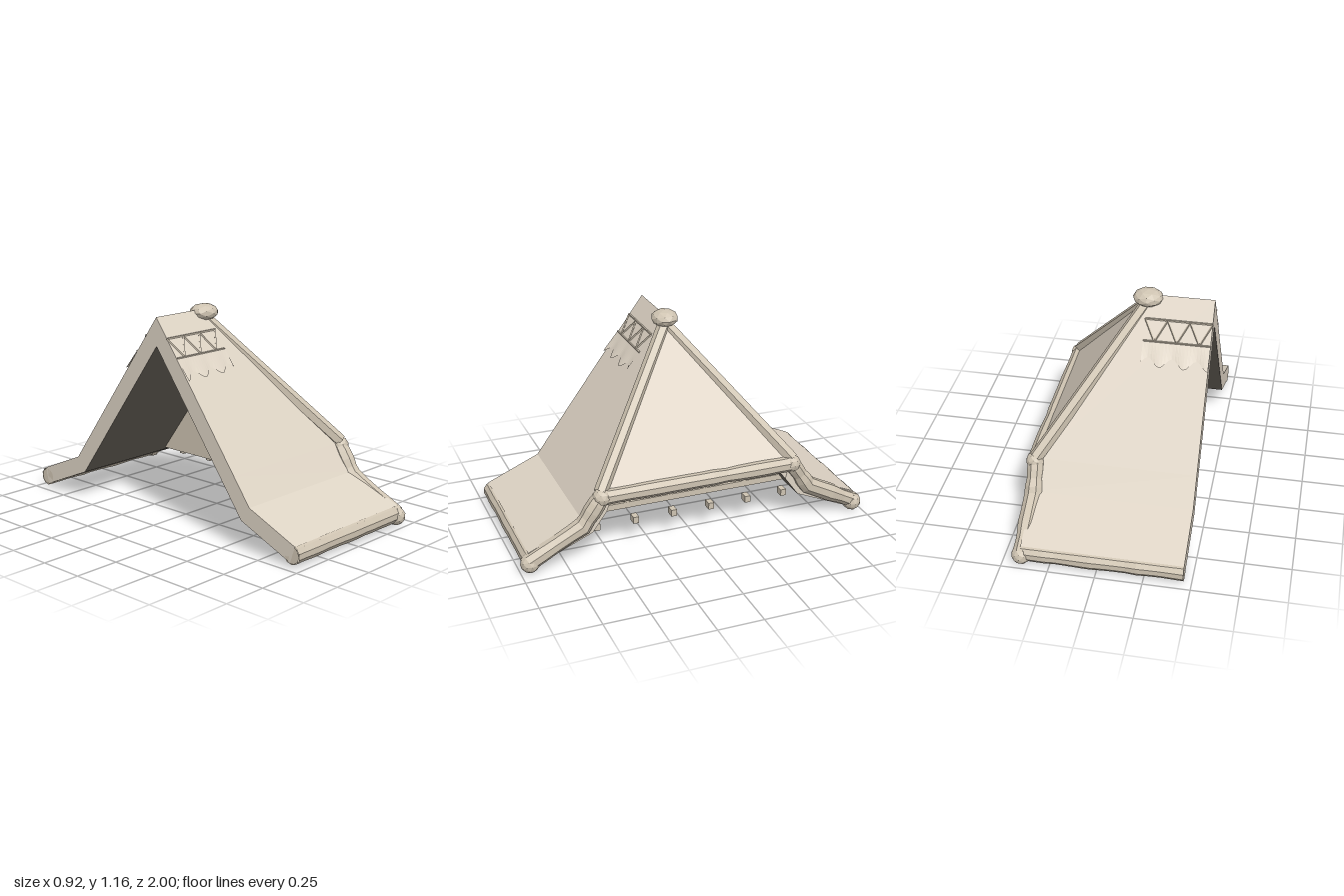
import * as THREE from 'three';

export function createModel() {
  const root = new THREE.Group();
  const paint = (name, color) => {
    const m = new THREE.MeshStandardMaterial({ color, flatShading: true, side: THREE.DoubleSide });
    m.name = name;
    return m;
  };
  const thatch = paint('paleThatch', 0xddd3c4);
  const wood = paint('paleWood', 0xcfc4b2);
  const dark = paint('darkLining', 0x6a645b);
  const V = (x, y, z) => new THREE.Vector3(x, y, z);

  let seed = 90210;
  const rand = () => (seed = (seed * 16807) % 2147483647) / 2147483647;

  function add(name, geo, mat, pos) {
    const m = new THREE.Mesh(geo, mat);
    m.name = name;
    if (pos) m.position.copy(pos);
    root.add(m);
    return m;
  }
  const box = (name, w, h, d, x, y, z) => add(name, new THREE.BoxGeometry(w, h, d), wood, V(x, y, z));

  // Skin a list of equal cross-sections, closed into a tube or left as a strip
  function loft(rings, closed, flip) {
    const p = [], n = rings[0].length;
    const tri = (a, b, c) => (flip ? [a, c, b] : [a, b, c]).forEach(v => p.push(v.x, v.y, v.z));
    for (let i = 0; i < rings.length - 1; i++) {
      for (let k = 0; k < (closed ? n : n - 1); k++) {
        const a = rings[i][k], b = rings[i][(k + 1) % n];
        const d = rings[i + 1][k], c = rings[i + 1][(k + 1) % n];
        tri(a, d, c);
        tri(a, c, b);
      }
    }
    const g = new THREE.BufferGeometry();
    g.setAttribute('position', new THREE.Float32BufferAttribute(p, 3));
    g.computeVertexNormals();
    return g;
  }

  // Thick roof: pale top and edges, dark lining. Section: outer left, outer right, inner right, inner left
  function roof(name, sections, flip) {
    add(name, loft(sections.map(([ol, or]) => [ol, or]), false, flip), thatch);
    add(name + 'CutEdge', loft(sections.map(([ol, , , il]) => [il, ol]), false, flip), thatch);
    add(name + 'RightEdge', loft(sections.map(([, or, ir]) => [or, ir]), false, flip), thatch);
    add(name + 'Lining', loft(sections.map(([, , ir, il]) => [ir, il]), false, flip), dark);
  }

  // Hand-hewn log along straight pieces, with slightly uneven thickness
  function log(name, pts, r, steps, sides, wobble) {
    const line = [];
    for (let i = 0; i < pts.length - 1; i++)
      for (let k = 0; k < steps; k++) line.push(pts[i].clone().lerp(pts[i + 1], k / steps));
    line.push(pts[pts.length - 1]);
    add(name, loft(line.map((c, i) => {
      const dir = line[Math.min(i + 1, line.length - 1)].clone().sub(line[Math.max(i - 1, 0)]).normalize();
      const u = dir.clone().cross(V(0, 1, 0)).normalize(), w = u.clone().cross(dir);
      const k = r * (1 + (rand() - 0.5) * wobble);
      return Array.from({ length: sides }, (_, j) => {
        const a = (j + 0.5) / sides * Math.PI * 2;
        return c.clone().addScaledVector(u, k * Math.cos(a)).addScaledVector(w, k * Math.sin(a));
      });
    }), true), wood);
  }
  const knob = (name, r, pos) => add(name, new THREE.IcosahedronGeometry(r, 1), wood, pos);

  // Thin square stick between two points
  function stick(name, a, b, w) {
    const m = add(name, new THREE.BoxGeometry(w, w, a.distanceTo(b)), wood, a.clone().add(b).multiplyScalar(0.5));
    m.lookAt(b);
  }

  const L = -0.46, RIDGE = 1.135, KINK_Y = 0.245, KINK_Z = 0.655;
  const slopeZ = y => (RIDGE - y) / (RIDGE - KINK_Y) * KINK_Z;
  // Point on the steep slope, raised a little off its surface
  const onSlope = (x, y, s, off) => V(x, y + off * 0.6, s * (slopeZ(y) + off * 0.8));

  // Roof sections: right edge x, outer z and y, inner z and y
  const sections = [
    [-0.1, 0, RIDGE, 0, 0.98],
    [0.4, 0.55, 0.388, 0.52, 0.274],
    [0.4, KINK_Z, KINK_Y, 0.6, 0.165],
    [0.4, 0.955, 0.115, 0.925, 0.025]
  ];

  for (const s of [1, -1]) {
    const side = s > 0 ? 'front' : 'back';

    // Main roof slope with flared eave
    roof(side + 'RoofSlope', sections.map(([x, zo, yo, zi, yi]) =>
      [V(L, yo, s * zo), V(x, yo, s * zo), V(x, yi, s * zi), V(L, yi, s * zi)]), s < 0);

    // Logs framing the slope
    log(side + 'HipLog', [V(-0.1, 1.085, 0), V(0.405, 0.395, s * 0.555)], 0.037, 1, 6, 0);
    log(side + 'FlareLog', [V(0.405, 0.37, s * 0.55), V(0.4, 0.215, s * 0.655), V(0.4, 0.062, s * 0.95)], 0.047, 4, 8, 0.2);
    log(side + 'EaveLog', [V(L, 0.067, s * 0.935), V(0.4, 0.067, s * 0.935)], 0.05, 14, 10, 0.12);
    add(side + 'EaveLogEnd', new THREE.CircleGeometry(0.047, 10).rotateY(-Math.PI / 2), wood, V(L, 0.067, s * 0.935));
    knob(side + 'UpperJoint', 0.05, V(0.41, 0.37, s * 0.55));
    knob(side + 'LowerJoint', 0.053, V(0.4, 0.055, s * 0.947));

    // Ridge trim: two rails with a zigzag between them
    for (const y of [1.03, 0.935]) stick(side + 'TrimRail', onSlope(L, y, s, 0.001), onSlope(-0.1, y, s, 0.001), 0.008);
    for (let i = 0; i < 6; i++) {
      const y0 = i % 2 ? 0.935 : 1.03, y1 = i % 2 ? 1.03 : 0.935;
      stick(side + 'TrimZigzag', onSlope(L + i * 0.06, y0, s, 0.001), onSlope(L + (i + 1) * 0.06, y1, s, 0.001), 0.008);
    }

    // Scalloped cloth with soft folds hanging below the trim
    const cloth = new THREE.PlaneGeometry(0.36, 1, 22, 2), cp = cloth.attributes.position;
    for (let i = 0; i < cp.count; i++) {
      const x = cp.getX(i) - 0.28, t = 0.5 - cp.getY(i);
      const wave = Math.cos((x + 0.2) / 0.13 * Math.PI * 2);
      const p = onSlope(x, 0.932 - t * (0.087 + 0.021 * wave), s, 0.003 + t * 0.004 * (1 + wave));
      cp.setXYZ(i, p.x, p.y, p.z);
    }
    add(side + 'ScallopedCloth', cloth, thatch);

    // Sloping end sticks of the wall under the hip
    stick(side + 'WallBrace', V(0.225, 0.19, s * 0.59), V(0.225, 0.35, s * 0.475), 0.022);
  }

  // Triangular hip face
  roof('hipFace', [
    [V(-0.1, 1.12, 0), V(-0.1, 1.12, 0), V(-0.1, 1.0, 0), V(-0.1, 1.0, 0)],
    [V(0.42, 0.38, 0.55), V(0.42, 0.38, -0.55), V(0.36, 0.335, -0.49), V(0.36, 0.335, 0.49)]
  ]);
  log('hipEaveLog', [V(0.41, 0.368, 0.55), V(0.41, 0.368, -0.55)], 0.043, 14, 8, 0.14);

  // Ridge end knob
  knob('ridgeKnob', 1, V(-0.102, 1.118, 0)).scale.set(0.083, 0.047, 0.075);

  // End wall under the hip, cut to the roof slope
  const wall = new THREE.Shape([[-0.6, 0.18], [0.6, 0.18], [0.38, 0.48], [-0.38, 0.48]].map(a => new THREE.Vector2(...a)));
  add('endWall', new THREE.ExtrudeGeometry(wall, { depth: 0.04, bevelEnabled: false }).rotateY(Math.PI / 2), wood, V(0.17, 0, 0));
  box('wallSill', 0.03, 0.035, 1.18, 0.22, 0.197, 0);
  box('wallTopRail', 0.03, 0.03, 0.95, 0.22, 0.35, 0);
  for (const z of [-0.35, -0.105, 0.105, 0.35]) box('wallPost', 0.03, 0.14, 0.032, 0.22, 0.285, z);

  // Small window in the wall
  box('windowSill', 0.03, 0.022, 0.18, 0.22, 0.235, 0);
  for (const z of [-0.085, 0, 0.085]) box('windowBar', 0.02, 0.1, 0.012, 0.215, 0.29, z);

  // Floor joist ends
  for (let i = 0; i < 6; i++) box('joistEnd', 0.05, 0.038, 0.032, 0.3, 0.145, -0.55 + i * 0.22);

  return root;
}
